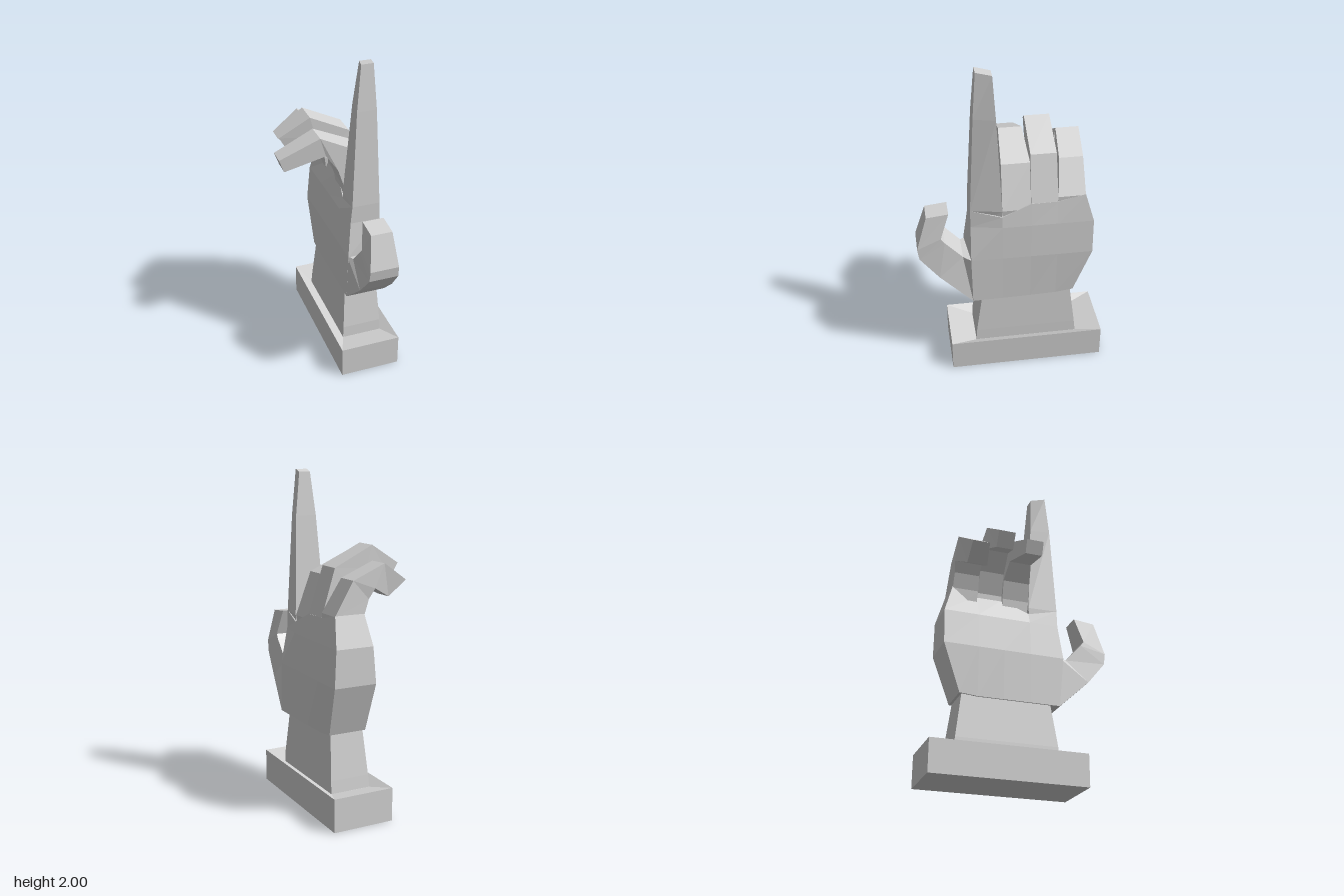
import * as THREE from 'three';

const stone = new THREE.MeshStandardMaterial({ color: 0xd4d4d4, flatShading: true });
stone.name = 'pale grey';

// Closed faceted solid through rings of equal, even corner count, wound outwards
function loft(name, rings) {
  const pts = rings.flat();
  const n = rings[0].length;
  const end = pts.length - n;
  const tris = [];
  const quad = (a, b, c, d) => tris.push([a, b, c], [a, c, d]);
  for (let r = 0; r < end; r += n) {
    for (let i = 0; i < n; i++) {
      const j = (i + 1) % n;
      quad(r + i, r + j, r + n + j, r + n + i);
    }
  }
  // Caps are strips between the two long sides of a ring
  for (let i = 0; i < n / 2 - 1; i++) {
    const [a, b, c, d] = [i, i + 1, n - 2 - i, n - 1 - i];
    quad(d, c, b, a);
    quad(end + a, end + b, end + c, end + d);
  }

  const v = pts.map((p) => new THREE.Vector3(...p));
  let volume = 0;
  for (const [a, b, c] of tris) volume += v[a].dot(v[b].clone().cross(v[c]));
  const out = [];
  for (const t of tris) {
    for (const i of volume < 0 ? [t[0], t[2], t[1]] : t) out.push(...pts[i]);
  }
  const geo = new THREE.BufferGeometry();
  geo.setAttribute('position', new THREE.Float32BufferAttribute(out, 3));
  geo.computeVertexNormals();
  const mesh = new THREE.Mesh(geo, stone);
  mesh.name = name;
  return mesh;
}

// Level ring: front edge (z, x from, x to), then back edge
const level = (y, zf, f0, f1, zb, b0, b1) => [
  [f0, y, zf], [f1, y, zf], [b1, y, zb], [b0, y, zb],
];

// Palm ring from rows of z, y, outer x, inner x and an optional inner z
const palmRing = (...rows) => [
  ...rows.map(([z, y, xo]) => [xo, y, z]),
  ...rows.map(([z, y, , xi, zi = z]) => [xi, y, zi]).reverse(),
];

// Finger ring: outer point, inner point, z range, optional front z of outer edge
const joint = (ox, oy, ix, iy, zf, zb, zOuter = zf) => [
  [ix, iy, zf], [ox, oy, zOuter], [ox, oy, zb], [ix, iy, zb],
];

// Thumb ring: outer (z, y, x from, x to), then inner
const thumbRing = (zo, yo, o0, o1, zi, yi, i0, i1) => [
  [o0, yo, zo], [o1, yo, zo], [i1, yi, zi], [i0, yi, zi],
];

export function createModel() {
  const model = new THREE.Group();
  model.name = 'handSculpture';

  // Plinth with a shallow dished top, and wrist
  model.add(loft('plinth', [
    level(0, 0.39, -0.058, 0.32, -0.565, -0.058, 0.32),
    level(0.2, 0.39, -0.058, 0.32, -0.565, -0.058, 0.32),
    level(0.165, 0.23, 0.005, 0.258, -0.41, 0.005, 0.258),
  ]));
  model.add(loft('wrist', [
    level(0.15, 0.23, 0.005, 0.258, -0.41, 0.005, 0.258),
    level(0.24, 0.225, 0.01, 0.255, -0.4, 0.01, 0.255),
    level(0.51, 0.185, 0.03, 0.24, -0.365, 0.03, 0.24),
  ]));

  // Palm, with its top edge stepping along the knuckles
  model.add(loft('palm', [
    palmRing([0.245, 0.5, 0.27, 0.02], [0.06, 0.5, 0.268, 0.02], [-0.11, 0.5, 0.265, 0.02],
      [-0.27, 0.5, 0.26, 0.02], [-0.38, 0.51, 0.255, 0.02]),
    palmRing([0.25, 0.81, 0.265, 0.018, 0.272], [0.06, 0.81, 0.27, 0.016], [-0.11, 0.81, 0.272, 0.014],
      [-0.27, 0.81, 0.274, 0.012], [-0.485, 0.81, 0.275, 0.01]),
    palmRing([0.245, 1.03, 0.225, 0.04], [0.06, 1.03, 0.262, 0.035], [-0.11, 1.03, 0.263, 0.035],
      [-0.27, 1.03, 0.264, 0.033], [-0.485, 1.03, 0.265, 0.03]),
    palmRing([0.245, 1.14, 0.22, 0.05], [0.06, 1.1, 0.255, 0.06], [-0.11, 1.175, 0.248, 0.085],
      [-0.27, 1.175, 0.246, 0.085], [-0.432, 1.21, 0.245, 0.06]),
  ]));

  // Raised index finger
  model.add(loft('indexFinger', [
    level(1.03, 0.23, 0.06, 0.2, 0.07, 0.06, 0.24),
    level(1.14, 0.245, 0.05, 0.22, 0.06, 0.058, 0.253),
    level(1.73, 0.215, 0.08, 0.198, 0.09, 0.1, 0.23),
    [[0.107, 2, 0.195], [0.18, 2, 0.195], [0.2, 1.985, 0.105], [0.13, 1.985, 0.105]],
  ]));

  // Curled fingers
  model.add(loft('middleFinger', [
    joint(0.24, 1.05, 0.08, 1.05, 0.05, -0.1),
    joint(0.25, 1.14, 0.065, 1.18, 0.06, -0.11),
    joint(0.155, 1.4, 0.03, 1.29, 0.055, -0.115),
    joint(-0.075, 1.51, -0.04, 1.39, 0.04, -0.1),
    joint(-0.32, 1.4, -0.29, 1.32, 0.02, -0.085),
  ]));
  model.add(loft('ringFinger', [
    joint(0.24, 1.05, 0.09, 1.05, -0.12, -0.26),
    joint(0.246, 1.175, 0.08, 1.2, -0.11, -0.27),
    joint(0.16, 1.455, 0.03, 1.33, -0.115, -0.268),
    joint(-0.085, 1.575, -0.05, 1.44, -0.115, -0.265),
    joint(-0.27, 1.46, -0.22, 1.37, -0.14, -0.245),
  ]));
  model.add(loft('littleFinger', [
    joint(0.24, 1.05, 0.08, 1.05, -0.28, -0.42),
    joint(0.245, 1.205, 0.06, 1.2, -0.27, -0.432),
    joint(0.13, 1.4, 0.03, 1.29, -0.275, -0.43, -0.288),
    joint(-0.065, 1.488, -0.005, 1.35, -0.27, -0.44, -0.302),
    joint(-0.235, 1.38, -0.12, 1.29, -0.27, -0.395, -0.29),
  ]));

  // Thumb
  model.add(loft('thumb', [
    thumbRing(0.245, 0.5, 0.02, 0.27, 0.25, 0.81, 0.018, 0.265),
    thumbRing(0.44, 0.68, 0.03, 0.235, 0.295, 0.81, 0.04, 0.22),
    thumbRing(0.555, 0.82, 0.04, 0.22, 0.4, 0.925, 0.04, 0.22),
    thumbRing(0.565, 0.89, 0.042, 0.218, 0.422, 0.955, 0.043, 0.218),
    thumbRing(0.502, 1.098, 0.065, 0.195, 0.37, 1.113, 0.065, 0.195),
  ]));

  return model;
}
